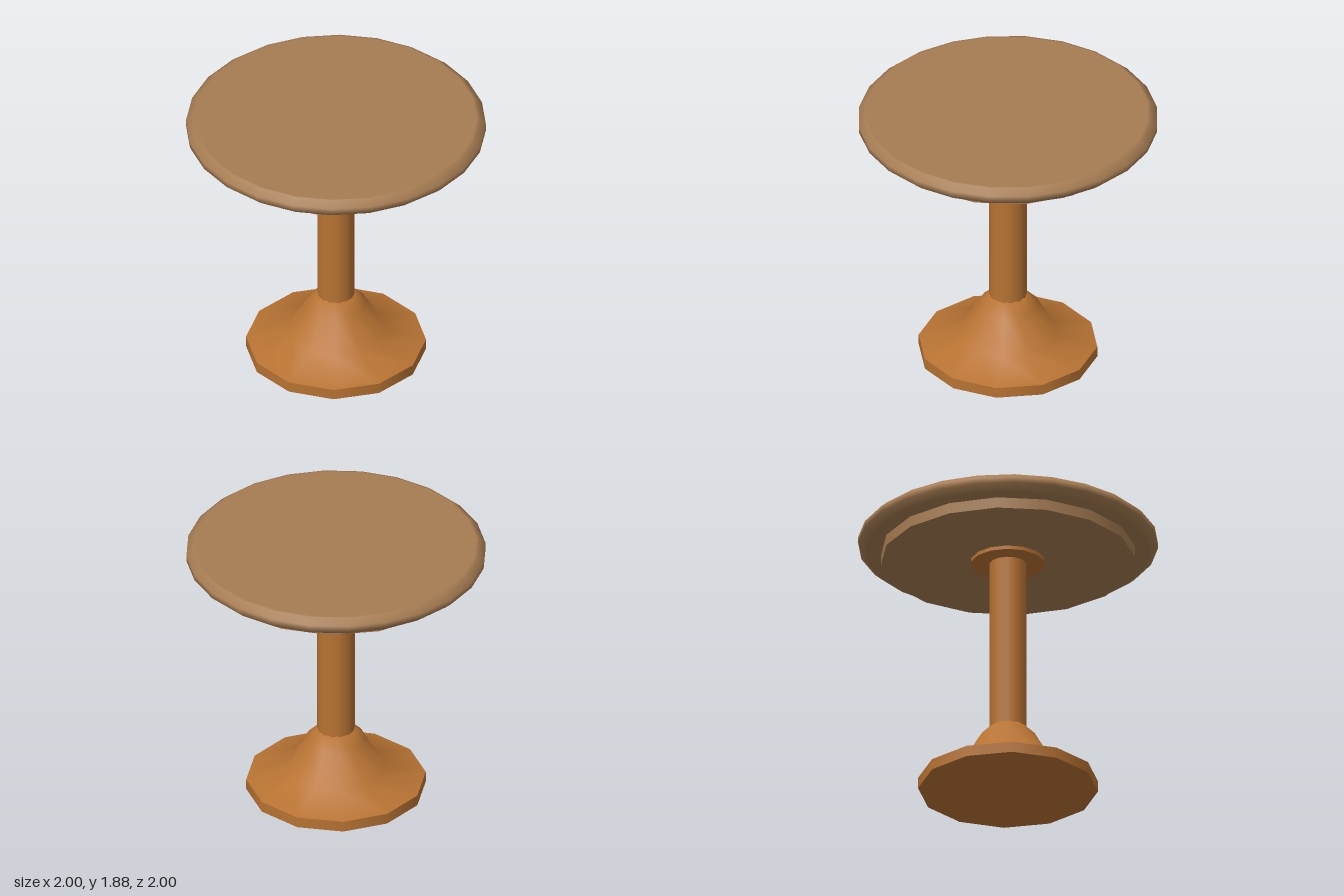
import * as THREE from 'three';

export function createModel() {
  const group = new THREE.Group();
  const wood = new THREE.MeshStandardMaterial({ color: 0xa67c52 });
  wood.name = 'pale wood';
  const copper = new THREE.MeshStandardMaterial({ color: 0xb87333 });
  copper.name = 'copper';

  const add = (name, geometry, material) => {
    const mesh = new THREE.Mesh(geometry, material);
    mesh.name = name;
    group.add(mesh);
    return mesh;
  };
  // Upright disc or post from y0 to y1, with a corner on the x axis
  const disc = (name, radius, y0, y1, sides, material) => {
    const geometry = new THREE.CylinderGeometry(radius, radius, y1 - y0, sides);
    geometry.rotateY(Math.PI / 2).translate(0, (y0 + y1) / 2, 0);
    return add(name, geometry, material);
  };
  // Turned shape from [radius, height] points, bottom to top
  const turned = (name, points, sides, material) =>
    add(name, new THREE.LatheGeometry(points.map(p => new THREE.Vector2(...p)), sides), material);

  // Foot: flat plate and flared bell
  disc('basePlate', 0.6, 0, 0.075, 12, copper);
  turned('baseBell', [[0.6, 0.075], [0.33, 0.15], [0.2, 0.375], [0.12, 0.455], [0, 0.455]], 12, copper);

  // Post and its mounting flange
  disc('post', 0.125, 0.44, 1.67, 14, copper);
  disc('flange', 0.25, 1.655, 1.682, 14, copper);

  // Table top with bevelled rim, over a smaller support disc
  disc('topSupport', 0.85, 1.68, 1.757, 16, wood);
  turned('tableTop', [
    [0, 1.755], [0.94, 1.755], [0.955, 1.755], [1, 1.795],
    [1, 1.835], [0.955, 1.875], [0.94, 1.875], [0, 1.875],
  ], 24, wood);

  return group;
}
